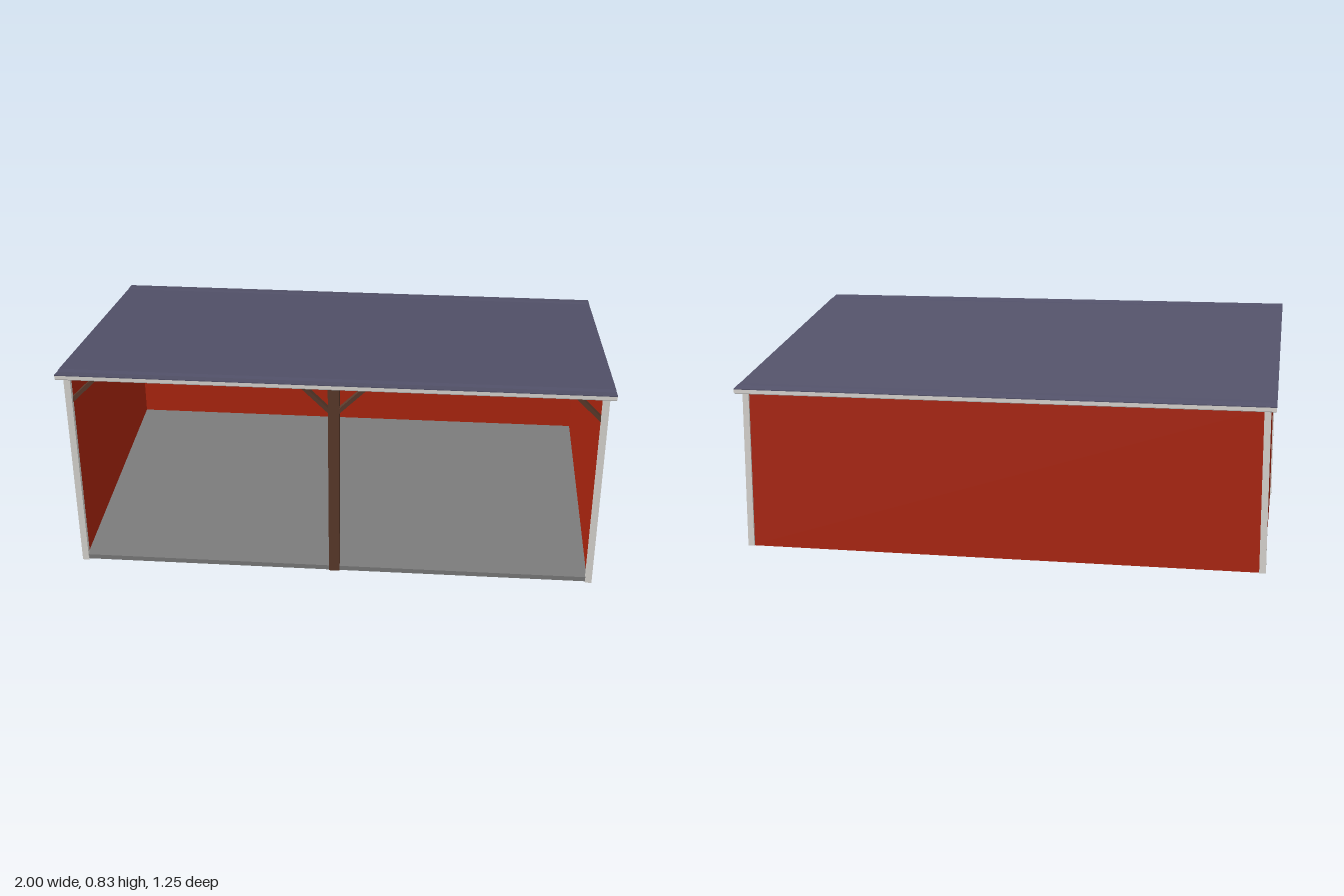
import * as THREE from 'three';

const mat = (name, color) => {
  const m = new THREE.MeshStandardMaterial({ color });
  m.name = name;
  return m;
};

export function createModel() {
  const model = new THREE.Group();
  model.name = 'openShed';
  const red = mat('barnRed', 0xb0260f);
  const trim = mat('paleTrim', 0xdedbd6);
  const roofing = mat('slateRoof', 0x53526a);
  const concrete = mat('concreteGrey', 0x7c7c7c);
  const soffitGrey = mat('soffitGrey', 0x9a9a9a);
  const wood = mat('darkTimber', 0x5c3b2c);

  const add = (name, geometry, material) => {
    const mesh = new THREE.Mesh(geometry, material);
    mesh.name = name;
    model.add(mesh);
    return mesh;
  };
  // Box given by its limits on each axis
  const box = (name, material, x0, x1, y0, y1, z0, z1) => {
    const m = add(name, new THREE.BoxGeometry(x1 - x0, y1 - y0, z1 - z0), material);
    m.position.set((x0 + x1) / 2, (y0 + y1) / 2, (z0 + z1) / 2);
    return m;
  };
  // Outline of [z, y] points, extruded along x and centred on cx
  const sideSlab = (name, material, points, width, cx = 0) => {
    const shape = new THREE.Shape(points.map(([z, y]) => new THREE.Vector2(z, y)));
    const g = new THREE.ExtrudeGeometry(shape, { depth: width, bevelEnabled: false });
    g.translate(0, 0, -width / 2).rotateY(-Math.PI / 2);
    add(name, g, material).position.x = cx;
  };
  // Underside height of the sloping roof at a given z
  const eave = (z) => 0.706 + z * 0.175;

  // Floor slab and back wall
  box('floor', concrete, -0.962, 0.962, 0.001, 0.02, -0.565, 0.58);
  box('backWall', red, -0.972, 0.972, 0, eave(-0.58), -0.58, -0.565);

  // Side walls with sloping tops
  for (const s of [-1, 1]) {
    sideSlab('sideWall', red,
      [[0.575, 0], [0.575, eave(0.575)], [-0.575, eave(-0.575)], [-0.575, 0]], 0.014, s * 0.968);
  }

  // Corner trim boards, wrapping each corner
  for (const s of [-1, 1]) {
    for (const f of [-1, 1]) {
      const top = eave(f * 0.575);
      const [xa, xb] = [s * 0.956, s * 0.98].sort((a, b) => a - b);
      const [za, zb] = [f * 0.567, f * 0.587].sort((a, b) => a - b);
      box('cornerTrim', trim, xa, xb, 0, top, za, zb);
    }
  }

  // Front timber frame: centre post, header and diagonal braces
  box('centrePost', wood, -0.02, 0.02, 0, 0.806, 0.545, 0.584);
  box('header', wood, -0.956, 0.956, 0.796, 0.806, 0.55, 0.58);
  const brace = (x0, y0, x1, y1) => {
    const m = add('brace', new THREE.BoxGeometry(Math.hypot(x1 - x0, y1 - y0), 0.015, 0.02), wood);
    m.position.set((x0 + x1) / 2, (y0 + y1) / 2, 0.563);
    m.rotation.z = Math.atan2(y1 - y0, x1 - x0);
  };
  for (const s of [-1, 1]) {
    brace(s * 0.012, 0.69, s * 0.122, 0.801);
    brace(s * 0.96, 0.7, s * 0.86, 0.801);
  }

  // Roof: trimmed edge body with roofing above and soffit below
  const line = [[0.628, 0.814], [0.585, 0.805], [0.56, 0.804],
    [-0.56, 0.608], [-0.585, 0.606], [-0.624, 0.598]];
  const band = (low, high) => [
    ...line.map(([z, y]) => [z, y + low]),
    ...line.map(([z, y]) => [z, y + high]).reverse(),
  ];
  sideSlab('roofEdge', trim, band(0.002, 0.016), 1.998);
  sideSlab('roofSheet', roofing, band(0.016, 0.019), 2);
  sideSlab('soffit', soffitGrey, band(0, 0.002), 1.994);

  return model;
}
